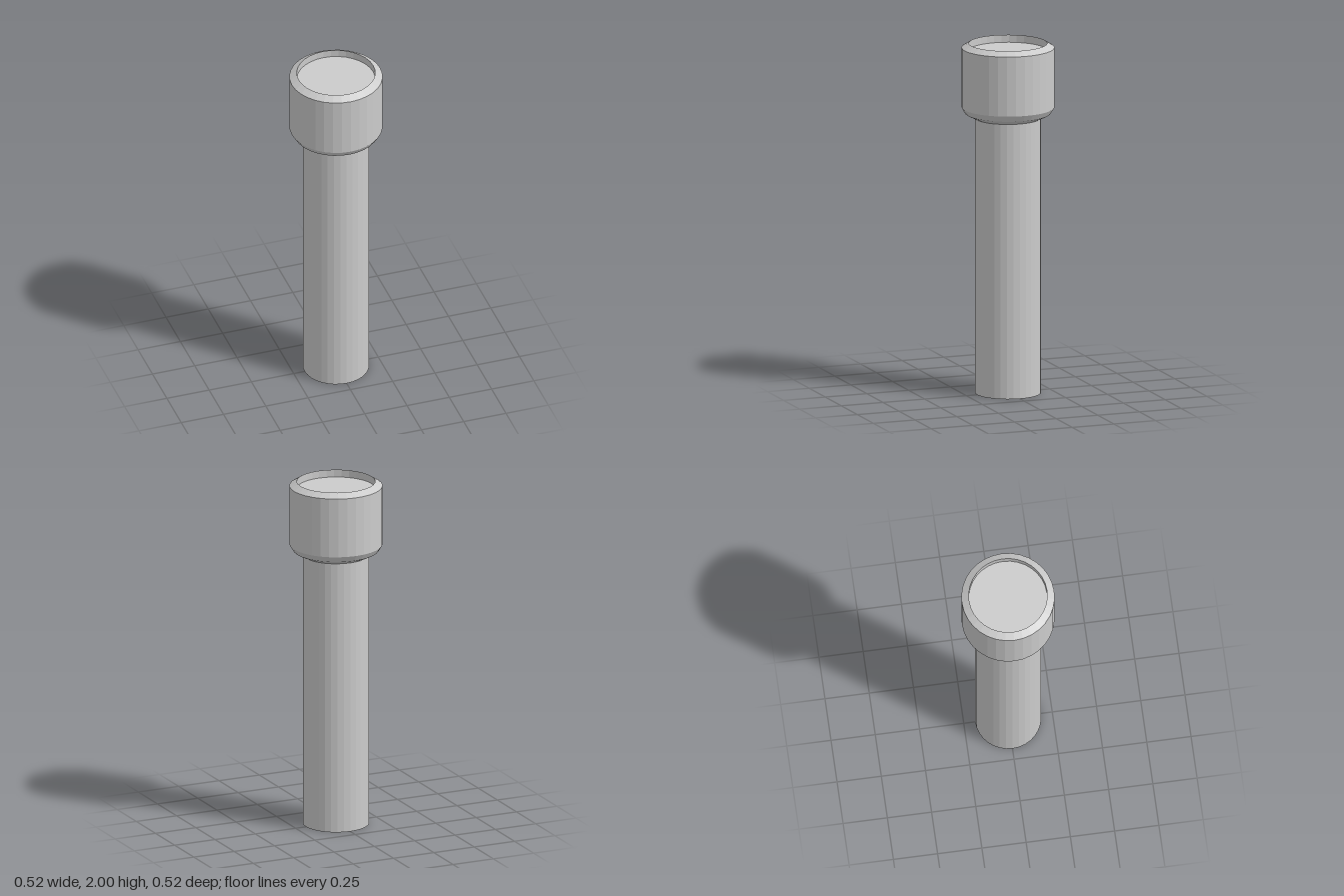
import * as THREE from 'three';

const SIDES = 32;
const material = new THREE.MeshStandardMaterial({ color: 0xcccccc, flatShading: true });

// Revolves [radius, height] pairs, listed bottom to top along the outside
function turned(name, profile) {
  const points = profile.map(([r, y]) => new THREE.Vector2(r, y));
  const mesh = new THREE.Mesh(new THREE.LatheGeometry(points, SIDES), material);
  mesh.name = name;
  return mesh;
}

export function createModel() {
  const model = new THREE.Group();
  model.name = 'flashlight';

  // Straight handle with a closed flat base
  model.add(turned('handle', [[0, 0], [0.186, 0], [0.186, 1.573]]));

  // Wider head: rounded underside, straight wall, bevelled rim, short recess
  model.add(turned('head', [
    [0.186, 1.573], [0.24, 1.6], [0.261, 1.634],
    [0.261, 1.975], [0.22, 2], [0.22, 1.957],
  ]));

  // Flat lens at the bottom of the recess
  const lens = new THREE.Mesh(new THREE.CircleGeometry(0.22, SIDES), material);
  lens.name = 'lens';
  lens.rotation.x = -Math.PI / 2;
  lens.position.y = 1.957;
  model.add(lens);

  return model;
}
